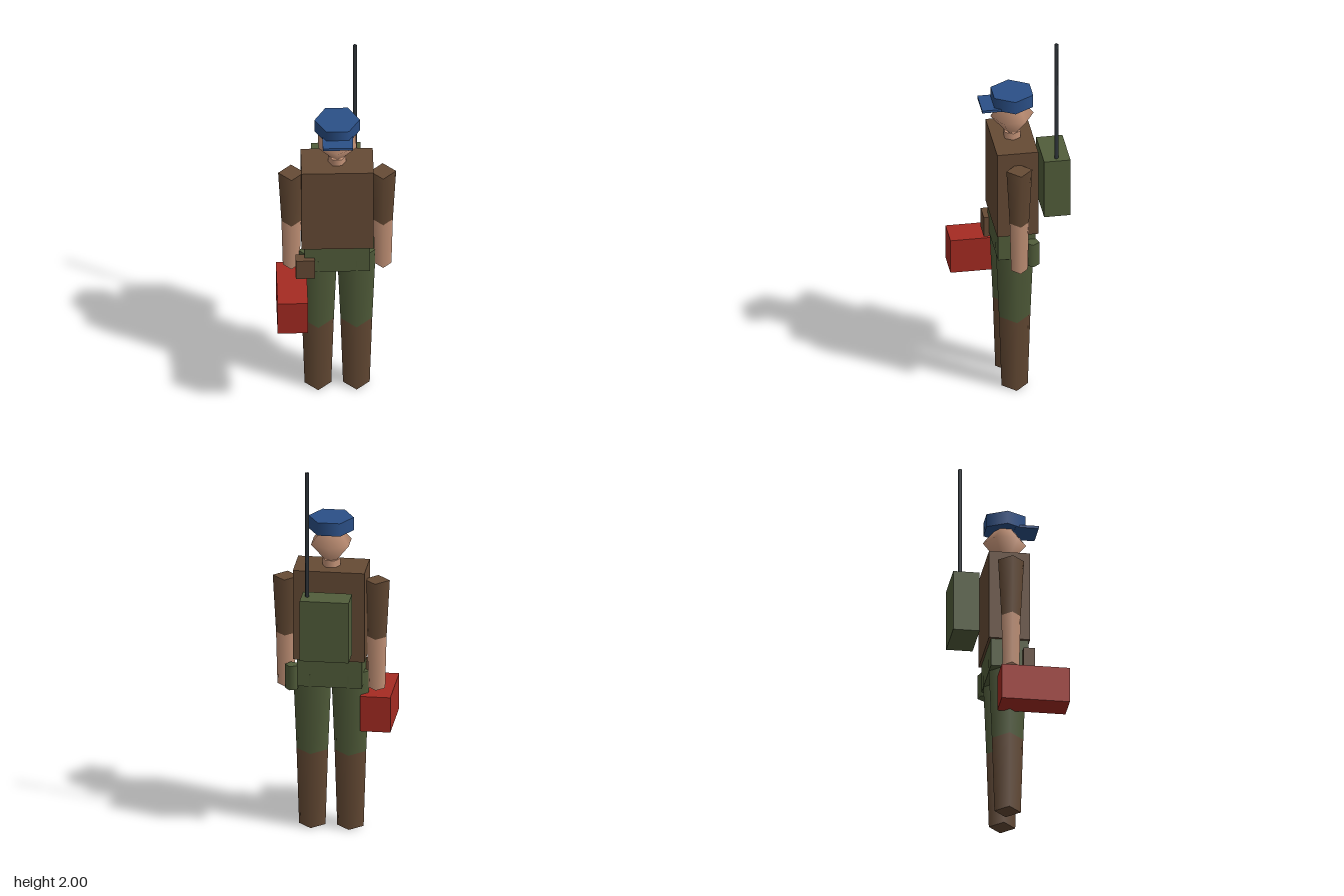
import * as THREE from 'three';

const mat = (name, color) => {
  const m = new THREE.MeshStandardMaterial({ color });
  m.name = name;
  return m;
};

export function createModel() {
  const brown = mat('brown', 0x664b35);
  const green = mat('olive', 0x525e3b);
  const skin = mat('skin', 0xc8967a);
  const blue = mat('blue', 0x2b5088);
  const red = mat('red', 0xa62b22);
  const dark = mat('dark metal', 0x30363b);

  const model = new THREE.Group();
  model.name = 'hiker';

  const add = (name, geometry, material) => {
    const mesh = new THREE.Mesh(geometry, material);
    mesh.name = name;
    model.add(mesh);
    return mesh;
  };
  // Box given by its extents on each axis
  const box = (name, material, [x0, x1], [y0, y1], [z0, z1]) =>
    add(name, new THREE.BoxGeometry(x1 - x0, y1 - y0, z1 - z0), material)
      .position.set((x0 + x1) / 2, (y0 + y1) / 2, (z0 + z1) / 2);
  // Upright tapered prism from y0 to y1 with smooth sides
  const prism = (name, material, sides, x, z, [y0, y1], r0, r1 = r0, turn = 0) => {
    const mesh = add(name, new THREE.CylinderGeometry(r1, r0, y1 - y0, sides), material);
    mesh.position.set(x, (y0 + y1) / 2, z);
    mesh.rotation.y = turn;
  };

  const cx = 0.004, cz = -0.006; // body axis

  // Body
  box('torso', brown, [-0.18, 0.188], [0.935, 1.42], [-0.112, 0.1]);
  box('hips', green, [-0.165, 0.169], [0.785, 0.935], [-0.1, 0.093]);

  // Arms and legs
  for (const [side, s] of [['left', 1], ['right', -1]]) {
    const ax = cx + s * 0.234, lx = cx + s * 0.098;
    prism(side + 'Sleeve', brown, 4, ax, cz, [1.04, 1.35], 0.05, 0.067);
    prism(side + 'Forearm', skin, 4, ax, cz, [0.76, 1.04], 0.043, 0.05);
    prism(side + 'Trouser', green, 4, lx, cz + 0.002, [0.41, 0.85], 0.081, 0.099);
    prism(side + 'Boot', brown, 4, lx, cz + 0.002, [0, 0.41], 0.068, 0.081);
  }

  // Neck and faceted head
  prism('neck', skin, 6, cx, cz, [1.415, 1.457], 0.046, 0.046, Math.PI / 6);
  const head = add('head', new THREE.SphereGeometry(0.112, 6, 2), skin);
  head.position.set(cx, 1.547, cz);
  head.scale.y = 1.2;
  head.rotation.y = Math.PI / 6;

  // Cap
  prism('capCrown', blue, 6, cx, cz, [1.615, 1.685], 0.116, 0.116, Math.PI / 6);
  box('capBrim', blue, [-0.073, 0.082], [1.614, 1.628], [0.04, 0.16]);

  // Backpack with aerial
  box('backpack', green, [-0.122, 0.13], [0.995, 1.322], [-0.288, -0.152]);
  prism('aerial', dark, 4, 0.1, -0.22, [1.3, 2], 0.01);

  // Belt gear and carried case
  box('pouch', brown, [-0.21, -0.113], [0.762, 0.875], [0.062, 0.12]);
  prism('canteen', green, 5, 0.195, -0.08, [0.765, 0.895], 0.037, 0.037, Math.PI / 2);
  box('case', red, [-0.307, -0.152], [0.54, 0.73], [-0.065, 0.286]);

  return model;
}
